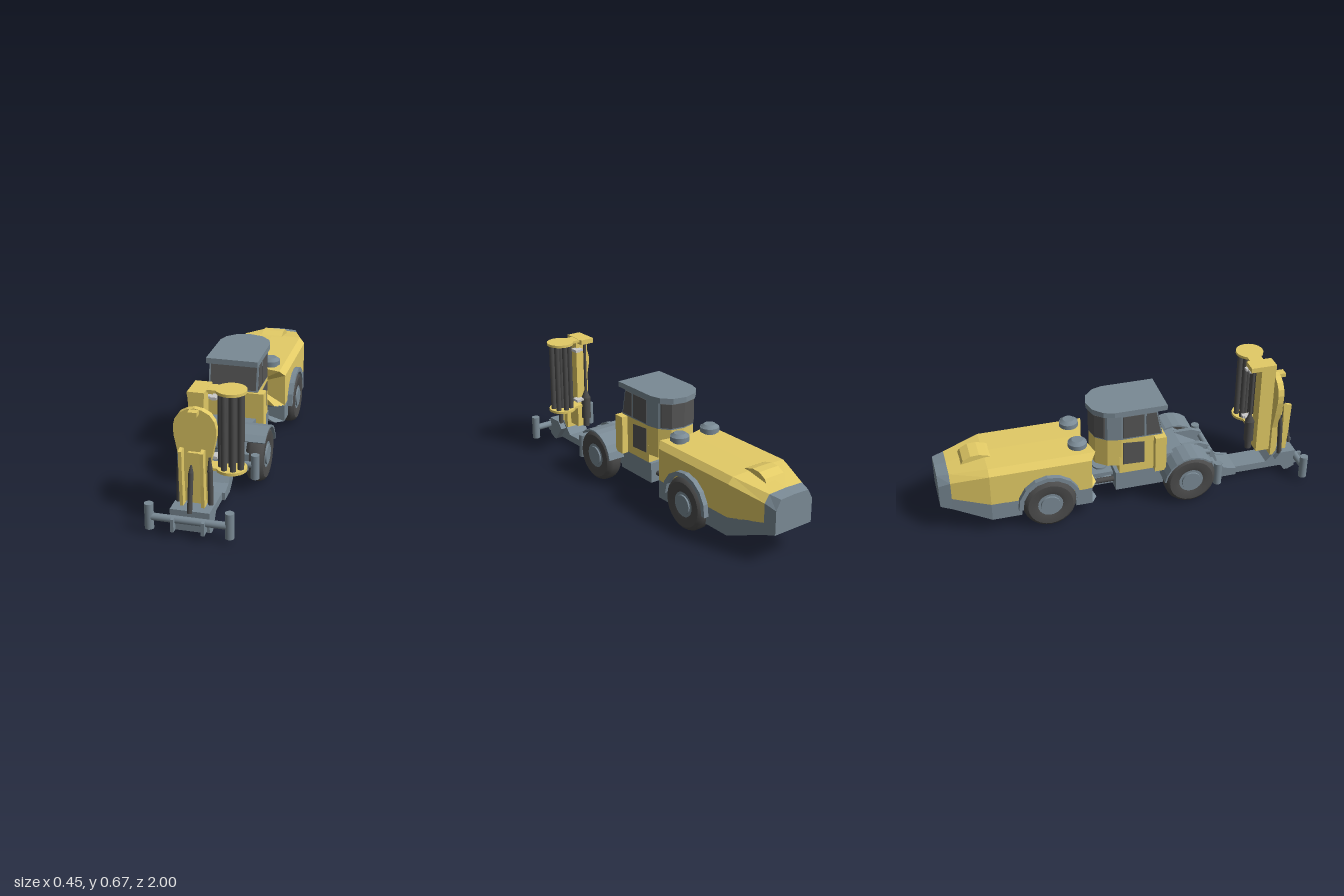
import * as THREE from 'three';
import { toCreasedNormals } from 'three/addons/utils/BufferGeometryUtils.js';

const mat = (color, side = THREE.FrontSide) => new THREE.MeshStandardMaterial({ color, side });
const YELLOW = mat(0xe3cb66), SLATE = mat(0x7a8a95), DARK = mat(0x4b4b4b), GLASS = mat(0x555555), PALE = mat(0xcccccc);

export function createModel() {
  const model = new THREE.Group();
  const add = (name, geo, m) => {
    const mesh = new THREE.Mesh(geo, m);
    mesh.name = name;
    model.add(mesh);
    return mesh;
  };
  // Box given by its limits
  const boxGeo = (x0, x1, y0, y1, z0, z1) =>
    new THREE.BoxGeometry(x1 - x0, y1 - y0, z1 - z0).translate((x0 + x1) / 2, (y0 + y1) / 2, (z0 + z1) / 2);
  const box = (name, m, ...lim) => add(name, boxGeo(...lim), m);
  // Round bar between two points
  const rod = (name, m, a, b, r0, r1 = r0, sides = 16) => {
    const A = new THREE.Vector3(...a), B = new THREE.Vector3(...b);
    const dir = B.clone().sub(A);
    const mesh = add(name, new THREE.CylinderGeometry(r1, r0, dir.length(), sides), m);
    mesh.position.copy(A).add(B).multiplyScalar(0.5);
    mesh.quaternion.setFromUnitVectors(new THREE.Vector3(0, 1, 0), dir.normalize());
    return mesh;
  };
  const mirrorHalf = half => [...half, ...half.filter(p => p[0] > 0).reverse().map(([x, ...r]) => [-x, ...r])];
  const extrude = (pts, depth) => new THREE.ExtrudeGeometry(
    new THREE.Shape(pts.map(p => new THREE.Vector2(p[0], p[1]))), { depth, bevelEnabled: false });
  // Symmetric plan outline [x, z] raised from y0 to y1
  const planGeo = (half, y0, y1) =>
    extrude(mirrorHalf(half).map(([x, z]) => [x, -z]), y1 - y0).rotateX(-Math.PI / 2).translate(0, y0, 0);
  // Side outline [z, y] spread from x0 to x1
  const side = (name, m, pts, x0, x1) =>
    add(name, extrude(pts, x1 - x0).rotateY(-Math.PI / 2).translate(x1, 0, 0), m);
  // Hull through mirrored cross-sections, ordered front to back
  const loft = (name, m, halves) => {
    const rings = halves.map(mirrorHalf), n = rings[0].length, v = [];
    const tri = (...p) => p.forEach(q => v.push(...q));
    for (let k = 0; k < rings.length - 1; k++) for (let i = 0; i < n; i++) {
      const j = (i + 1) % n, [a, b, c, d] = [rings[k][i], rings[k][j], rings[k + 1][i], rings[k + 1][j]];
      tri(a, c, b);
      tri(b, c, d);
    }
    const mid = r => [0, (r[0][1] + r[halves[0].length - 1][1]) / 2, r[0][2]];
    const f = rings[0], e = rings[rings.length - 1];
    for (let i = 0; i < n; i++) {
      const j = (i + 1) % n;
      tri(mid(f), f[i], f[j]);
      tri(mid(e), e[j], e[i]);
    }
    const g = new THREE.BufferGeometry();
    g.setAttribute('position', new THREE.Float32BufferAttribute(v, 3));
    g.computeVertexNormals();
    return add(name, g, m);
  };

  // Rear engine hood, notched at the front and tapering to the tail
  const hoodRing = (z, w, yb, ys, yt) =>
    [[0, yb, z], [0.75 * w, yb, z], [w, yb, z], [w, ys, z], [w - 0.028, yt, z], [0, yt + 0.004, z]];
  const notch = [-0.235, -0.19, -0.222, -0.222, -0.196, -0.235];
  const notched = ring => ring.map(([x, y], i) => [x, y, notch[i]]);
  loft('hood', YELLOW, [
    notched(hoodRing(0, 0.19, 0.18, 0.355, 0.386)), hoodRing(-0.26, 0.19, 0.18, 0.355, 0.386),
    hoodRing(-0.75, 0.19, 0.18, 0.355, 0.386), hoodRing(-0.94, 0.132, 0.213, 0.312, 0.351)]);
  loft('tailCap', SLATE, [hoodRing(-0.94, 0.132, 0.15, 0.312, 0.351), hoodRing(-1, 0.115, 0.165, 0.29, 0.341)]);
  // Rear lower hull with gaps for the wheels
  const low = (z, w, y0, y1) => [[0, y0, z], [0.75 * w, y0, z], [w, y0, z], [w, y1, z], [0.75 * w, y1, z], [0, y1, z]];
  const lowFront = low(0, 0.19, 0.085, 0.182).map(([x, y], i) => [x, y, [-0.235, -0.19, -0.222, -0.222, -0.19, -0.235][i]]);
  loft('rearHullFront', SLATE, [lowFront, low(-0.31, 0.19, 0.085, 0.182)]);
  box('rearHullMiddle', SLATE, -0.12, 0.12, 0.085, 0.182, -0.61, -0.3);
  loft('rearHullTail', SLATE, [low(-0.595, 0.19, 0.085, 0.182), low(-0.75, 0.19, 0.085, 0.182), low(-0.94, 0.132, 0.15, 0.216)]);

  // Hood vent hump and intake caps
  side('ventHump', YELLOW, [[-0.69, 0.375], [-0.73, 0.395], [-0.775, 0.408], [-0.82, 0.406], [-0.86, 0.385], [-0.88, 0.35]], -0.06, 0.06);
  for (const s of [1, -1]) {
    rod('intakeStem', SLATE, [s * 0.098, 0.37, -0.275], [s * 0.098, 0.4, -0.275], 0.036);
    rod('intakeCap', SLATE, [s * 0.098, 0.398, -0.275], [s * 0.098, 0.422, -0.275], 0.05);
    rod('intakeTop', SLATE, [s * 0.098, 0.422, -0.275], [s * 0.098, 0.437, -0.275], 0.048, 0.03);
  }

  // Wheels
  const tyre = toCreasedNormals(new THREE.LatheGeometry([
    [0.066, -0.04], [0.085, -0.045], [0.118, -0.045], [0.132, -0.035], [0.14, -0.018],
    [0.14, 0.018], [0.132, 0.035], [0.118, 0.045], [0.085, 0.045], [0.066, 0.04]
  ].map(p => new THREE.Vector2(...p)), 24), 0.6).rotateZ(-Math.PI / 2);
  for (const z of [0.31, -0.45]) {
    for (const s of [1, -1]) {
      add('tyre', tyre, DARK).position.set(s * 0.175, 0.14, z);
      rod('wheelRim', SLATE, [s * 0.13, 0.14, z], [s * 0.214, 0.14, z], 0.07, 0.07, 20);
      rod('wheelHub', SLATE, [s * 0.2, 0.14, z], [s * 0.222, 0.14, z], 0.054, 0.05, 20);
    }
    rod('axle', SLATE, [-0.14, 0.14, z], [0.14, 0.14, z], 0.035);
  }
  // Faceted wheel arches as thick arcs
  const arc = (zc, yc, ri, ro, a0, a1, n) => {
    const line = r => Array.from({ length: n + 1 }, (_, i) => {
      const a = THREE.MathUtils.degToRad(a0 + (a1 - a0) * i / n);
      return [zc + r * Math.cos(a), yc + r * Math.sin(a)];
    });
    return [...line(ro), ...line(ri).reverse()];
  };
  for (const s of [1, -1]) {
    const span = (a, b) => s > 0 ? [a, b] : [-b, -a];
    side('rearArch', SLATE, arc(-0.45, 0.145, 0.142, 0.165, 2, 185, 8), ...span(0.17, 0.217));
    side('frontFender', SLATE, arc(0.31, 0.14, 0.141, 0.15, 46, 172, 8), ...span(0.09, 0.225));
  }

  // Front chassis and the centre pivot
  box('frontChassis', SLATE, -0.13, 0.13, 0.095, 0.205, -0.08, 0.18);
  loft('axleFrame', SLATE, [
    [[0, 0.11, 0.42], [0.07, 0.11, 0.42], [0.1, 0.14, 0.42], [0.1, 0.2, 0.42], [0, 0.2, 0.42]],
    [[0, 0.08, 0.3], [0.07, 0.08, 0.3], [0.11, 0.12, 0.3], [0.11, 0.27, 0.3], [0, 0.27, 0.3]],
    [[0, 0.08, 0.14], [0.07, 0.08, 0.14], [0.13, 0.1, 0.14], [0.13, 0.27, 0.14], [0, 0.27, 0.14]]]);
  for (const y of [0.112, 0.165]) box('pivotPlate', SLATE, -0.07, 0.07, y - 0.01, y + 0.01, -0.21, -0.06);
  rod('pivotPin', SLATE, [0, 0.1, -0.135], [0, 0.185, -0.135], 0.04);
  for (const s of [1, -1]) rod('steeringCylinder', DARK, [s * 0.085, 0.14, -0.24], [s * 0.085, 0.14, -0.07], 0.014);

  // Cab with sloped windscreen and rounded back
  const slope = g => {
    const p = g.attributes.position;
    for (let i = 0; i < p.count; i++) if (p.getZ(i) > 0.1) p.setZ(i, p.getZ(i) - (p.getY(i) - 0.41) * 0.2);
    g.computeVertexNormals();
    return g;
  };
  const cabPlan = [[0.13, 0.172], [0.13, -0.05], [0.115, -0.12], [0.07, -0.175], [0, -0.19]];
  add('cabLower', planGeo(cabPlan, 0.25, 0.41), YELLOW);
  box('cabDoorBase', YELLOW, -0.13, 0.13, 0.2, 0.3, -0.06, 0.15);
  box('cabFront', YELLOW, -0.165, 0.165, 0.2, 0.408, 0.125, 0.185);
  add('cabFrame', slope(planGeo(cabPlan, 0.41, 0.558)), SLATE);
  add('roof', planGeo([[0.135, 0.195], [0.135, -0.085], [0.118, -0.14], [0.07, -0.188], [0, -0.205]], 0.555, 0.584), SLATE);
  add('windscreen', slope(boxGeo(-0.12, 0.12, 0.418, 0.548, 0, 0.175)), GLASS);
  add('frontSideWindow', slope(boxGeo(-0.132, 0.132, 0.418, 0.548, 0.085, 0.165)), GLASS);
  box('rearSideWindow', GLASS, -0.132, 0.132, 0.418, 0.548, -0.04, 0.073);
  side('doorWindow', GLASS, [[0.075, 0.25], [-0.04, 0.255], [-0.04, 0.39], [0.075, 0.38]], -0.132, 0.132);
  add('backWindow', planGeo([[0.105, 0], [0.107, -0.137], [0.072, -0.178], [0, -0.193]], 0.418, 0.548), GLASS);

  // Boom: curved side plates that merge into a flat beam
  const boomPlate = [[0.3, 0.272], [0.4, 0.272], [0.45, 0.25], [0.485, 0.19], [0.51, 0.12], [0.55, 0.078],
    [0.62, 0.06], [0.62, 0.02], [0.53, 0.02], [0.47, 0.06], [0.43, 0.12], [0.3, 0.16]];
  for (const s of [1, -1]) {
    side('boomPlate', SLATE, boomPlate, s * 0.065 - 0.012, s * 0.065 + 0.012);
    rod('liftCylinder', SLATE, [s * 0.098, 0.25, 0.22], [s * 0.098, 0.225, 0.45], 0.014);
  }
  side('boomBeam', SLATE, [[0.49, 0.17], [0.51, 0.115], [0.55, 0.075], [0.62, 0.06], [0.8, 0.06], [0.86, 0.13],
    [0.92, 0.13], [0.92, 0.02], [0.53, 0.02], [0.46, 0.08]], -0.062, 0.062);
  rod('boomHinge', SLATE, [-0.105, 0.225, 0.45], [0.105, 0.225, 0.45], 0.016);

  // Front foot and stabiliser jacks
  side('foot', SLATE, [[0.84, 0.09], [0.87, 0.13], [0.955, 0.13], [0.955, 0.03], [0.92, 0.012], [0.9, 0.012]], -0.095, 0.095);
  box('footPlate', SLATE, -0.065, 0.065, 0.035, 0.1, 0.95, 0.97);
  rod('frontJackBar', SLATE, [-0.19, 0.085, 0.965], [0.19, 0.085, 0.965], 0.018);
  for (const s of [1, -1]) {
    rod('frontJack', SLATE, [s * 0.192, 0.024, 0.965], [s * 0.192, 0.153, 0.965], 0.022);
    rod('rearJack', SLATE, [s * 0.19, 0.078, 0.467], [s * 0.19, 0.206, 0.467], 0.022);
    rod('rearJackArm', SLATE, [s * 0.07, 0.15, 0.467], [s * 0.19, 0.15, 0.467], 0.016);
    box('rearJackBlock', SLATE, s * 0.12 - 0.03, s * 0.12 + 0.03, 0.105, 0.195, 0.39, 0.45);
    box('footTab', SLATE, s * 0.073 - 0.008, s * 0.073 + 0.008, 0.035, 0.1, 0.94, 1);
  }

  // Teardrop shield with its posts and cylinders
  const shield = mirrorHalf([[0.06, 0.1], [0.06, 0.28], [0.084, 0.38], [0.1, 0.46], [0.102, 0.505], [0.094, 0.54],
    [0.072, 0.572], [0.035, 0.592], [0, 0.599]]);
  add('shield', extrude(shield, 0.033).translate(0, 0, 0.822), YELLOW);
  box('shieldTip', YELLOW, -0.022, 0.022, 0.572, 0.594, 0.815, 0.89);
  box('shieldRib', YELLOW, -0.03, 0.03, 0.13, 0.385, 0.85, 0.872);
  for (const s of [1, -1]) {
    side('post', YELLOW, [[0.87, 0.1], [0.885, 0.3], [0.88, 0.41], [0.895, 0.42], [0.925, 0.41], [0.92, 0.25], [0.91, 0.1]],
      s * 0.051 - 0.008, s * 0.051 + 0.008);
    rod('sideCylinder', DARK, [s * 0.077, 0.12, 0.868], [s * 0.073, 0.3, 0.862], 0.013);
    rod('sideCylinderTip', DARK, [s * 0.073, 0.3, 0.862], [s * 0.071, 0.365, 0.858], 0.013, 0.005);
  }
  rod('tiltCylinder', DARK, [0, 0.12, 0.955], [0, 0.31, 0.922], 0.012);
  rod('tiltCylinderTip', DARK, [0, 0.31, 0.922], [0, 0.345, 0.915], 0.012, 0.004);

  // Drill mast and drill unit
  box('mast', YELLOW, -0.038, 0.035, 0.125, 0.642, 0.745, 0.825);
  box('mastCap', YELLOW, -0.042, 0.038, 0.638, 0.665, 0.685, 0.825);
  rod('drillMotor', DARK, [0, 0.135, 0.712], [0, 0.19, 0.712], 0.018);
  rod('drillBody', DARK, [0, 0.185, 0.712], [0, 0.31, 0.712], 0.026);
  rod('drillNeck', DARK, [0, 0.31, 0.712], [0, 0.35, 0.712], 0.024, 0.009);
  rod('drillRod', DARK, [0, 0.34, 0.712], [0, 0.64, 0.712], 0.008);

  // Rod magazine
  for (const y of [0.258, 0.65]) {
    rod('magazinePlate', YELLOW, [0.143, y, 0.742], [0.143, y + 0.014, 0.742], 0.074, 0.074, 24);
    box('magazineArm', YELLOW, 0.03, 0.11, y, y + 0.014, 0.705, 0.78);
  }
  for (let i = 0; i < 7; i++) {
    const a = i / 7 * Math.PI * 2 + 0.3, x = 0.143 + 0.05 * Math.cos(a), z = 0.742 + 0.05 * Math.sin(a);
    rod('drillRodSpare', DARK, [x, 0.265, z], [x, 0.655, z], 0.0145, 0.0145, 12);
  }
  rod('magazineShaft', DARK, [0.143, 0.265, 0.742], [0.143, 0.655, 0.742], 0.014);
  for (const y of [0.298, 0.597]) {
    box('gripperArm', PALE, 0.02, 0.055, y, y + 0.012, 0.7, 0.73);
    box('gripperJaw', PALE, 0.045, 0.072, y, y + 0.014, 0.69, 0.74);
  }
  return model;
}
